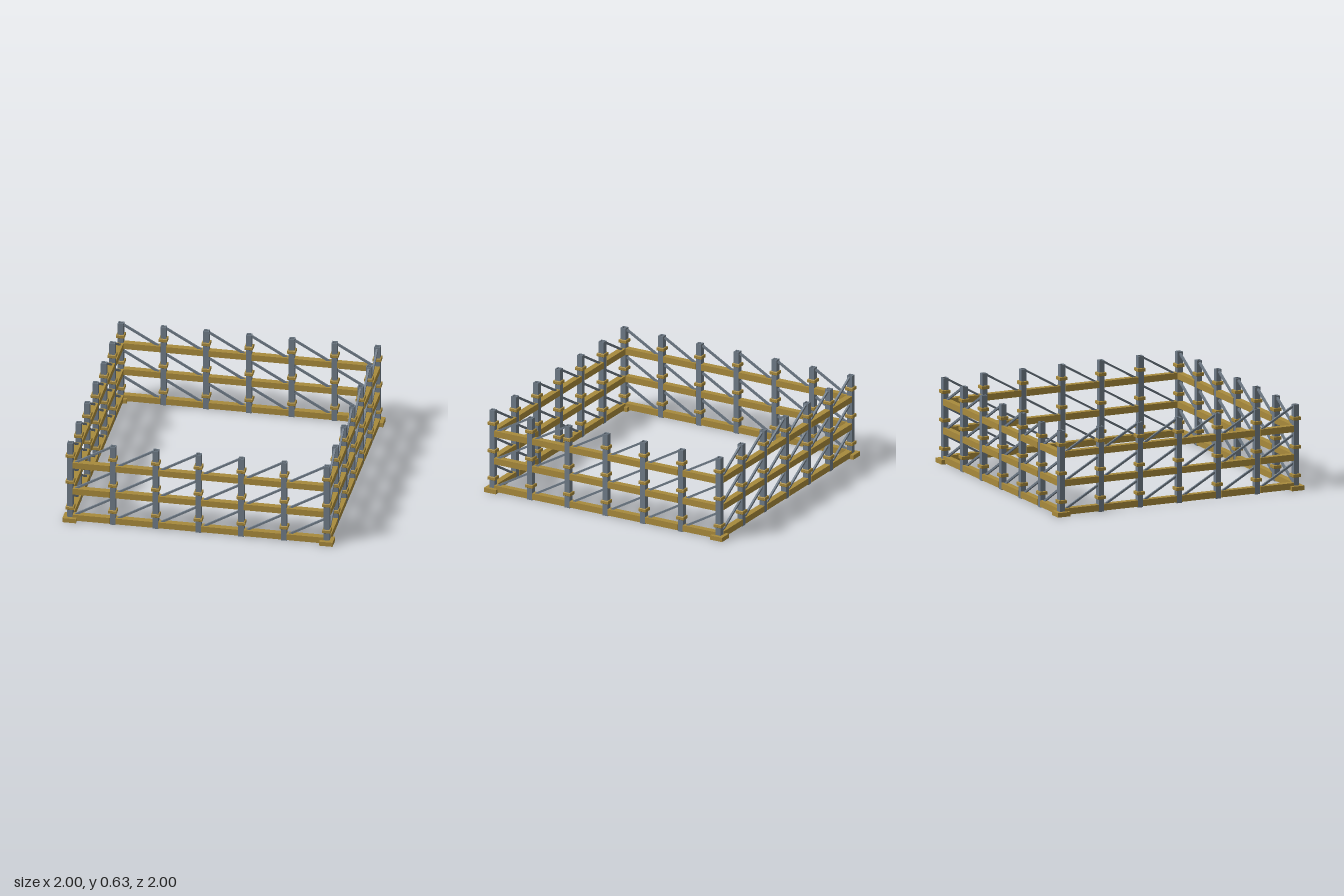
import * as THREE from 'three';

const R = 0.95;            // distance from the centre to each wall line
const BAYS = 6;
const STEP = (2 * R) / BAYS;
const POST = 0.042, POST_H = 0.635, RAIL = 0.047;
const RAIL_Y = [0.031, 0.244, 0.457];

const timber = new THREE.MeshStandardMaterial({ color: 0xa88a3c });
timber.name = 'ochre timber';
const steel = new THREE.MeshStandardMaterial({ color: 0x6f7b87 });
steel.name = 'blue grey steel';

// Trace a centred square on a Shape or Path
function square(path, half) {
  path.moveTo(-half, -half);
  path.lineTo(half, -half);
  path.lineTo(half, half);
  path.lineTo(-half, half);
  path.closePath();
  return path;
}

// Upright square tube standing on y = 0
function squareTube(outer, inner, height, bevel = 0) {
  const shape = square(new THREE.Shape(), outer / 2 - bevel);
  shape.holes.push(square(new THREE.Path(), inner / 2 + bevel));
  const geo = new THREE.ExtrudeGeometry(shape, {
    depth: height - 2 * bevel, bevelEnabled: bevel > 0,
    bevelSize: bevel, bevelThickness: bevel, bevelSegments: 1,
  });
  geo.translate(0, 0, bevel);
  return geo.rotateX(-Math.PI / 2);
}

export function createModel() {
  const model = new THREE.Group();
  model.name = 'fence';

  const postGeo = squareTube(POST, 0.027, POST_H);
  const bandGeo = squareTube(0.062, 0.034, 0.026, 0.003);
  const railGeo = new THREE.BoxGeometry(STEP - POST, RAIL, RAIL);
  const rise = 0.155, run = 0.272;
  const braceGeo = new THREE.BoxGeometry(Math.hypot(rise, run), 0.015, 0.015);
  const padGeo = new THREE.BoxGeometry(0.1, 0.033, 0.1);

  const add = (parent, name, geo, mat, x, y) => {
    const mesh = new THREE.Mesh(geo, mat);
    mesh.name = name;
    mesh.position.set(x, y, R);
    parent.add(mesh);
    return mesh;
  };

  // Four equal walls turned about the centre, each owning its first corner
  ['front', 'left', 'back', 'right'].forEach((side, k) => {
    const wall = new THREE.Group();
    wall.name = side + 'Wall';
    wall.rotation.y = (k * Math.PI) / 2;
    model.add(wall);

    add(wall, 'cornerPad', padGeo, timber, -R, 0.0165);

    for (let i = 0; i < BAYS; i++) {
      const x = -R + i * STEP;
      const mid = x + STEP / 2;
      add(wall, 'post', postGeo, steel, x, 0);
      for (const y of RAIL_Y) {
        add(wall, 'postBand', bandGeo, timber, x, y + 0.063);
        add(wall, 'rail', railGeo, timber, mid, y);
        add(wall, 'diagonalBrace', braceGeo, steel, mid, y + 0.086)
          .rotation.z = Math.atan2(rise, run);
      }
    }
  });

  return model;
}
